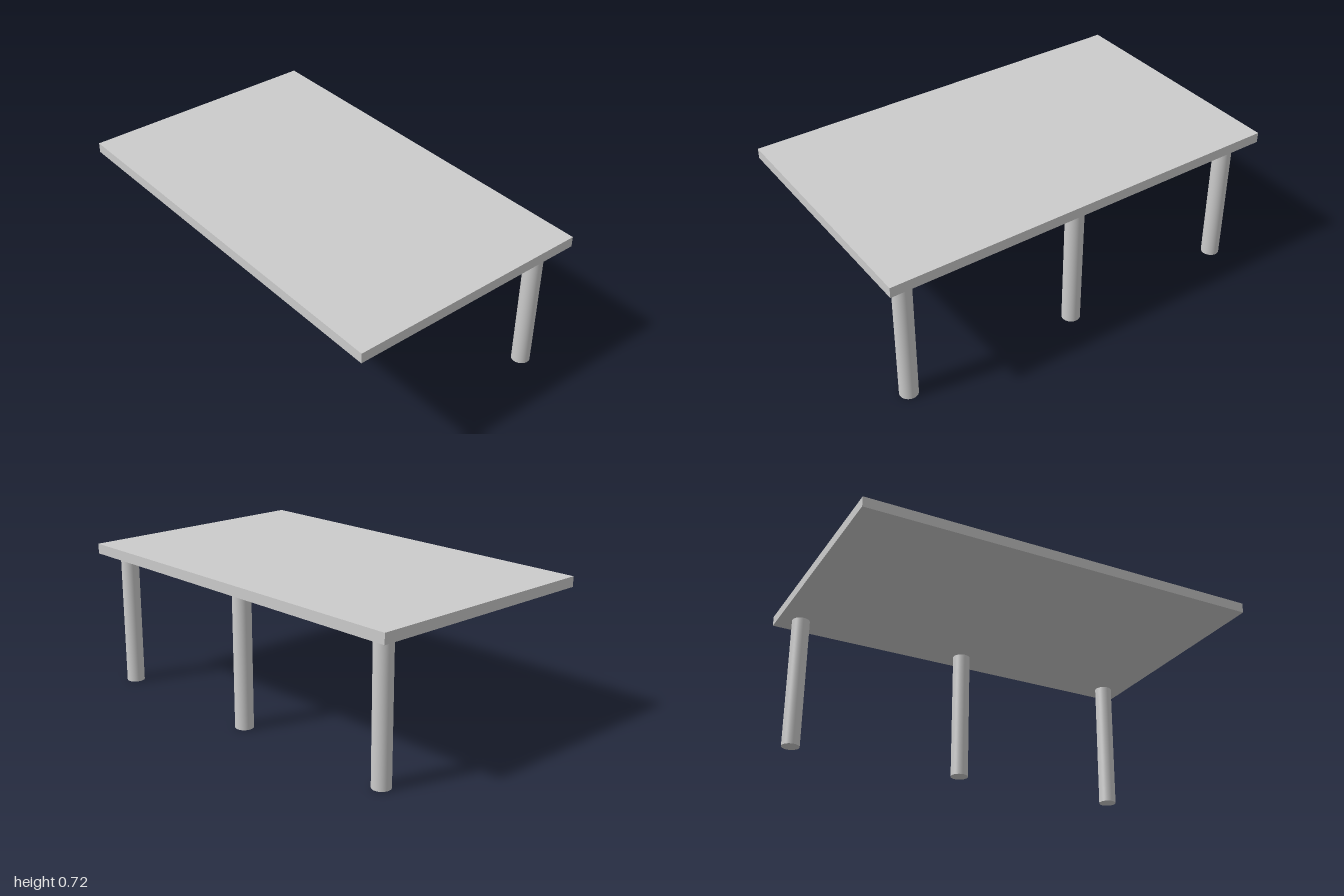
import * as THREE from 'three';

export function createModel() {
  const model = new THREE.Group();
  const material = new THREE.MeshStandardMaterial({ color: 0xcccccc });

  const legHeight = 0.67;
  const topThickness = 0.05;

  // Flat rectangular slab
  const top = new THREE.Mesh(new THREE.BoxGeometry(2, topThickness, 1.22), material);
  top.name = 'tableTop';
  top.position.y = legHeight + topThickness / 2;
  model.add(top);

  // Row of three round legs along the back edge
  const legGeometry = new THREE.CylinderGeometry(0.044, 0.044, legHeight, 48);
  const legs = { leftLeg: 0.89, middleLeg: 0, rightLeg: -0.89 };
  for (const [name, x] of Object.entries(legs)) {
    const leg = new THREE.Mesh(legGeometry, material);
    leg.name = name;
    leg.position.set(x, legHeight / 2, -0.5);
    model.add(leg);
  }

  return model;
}
